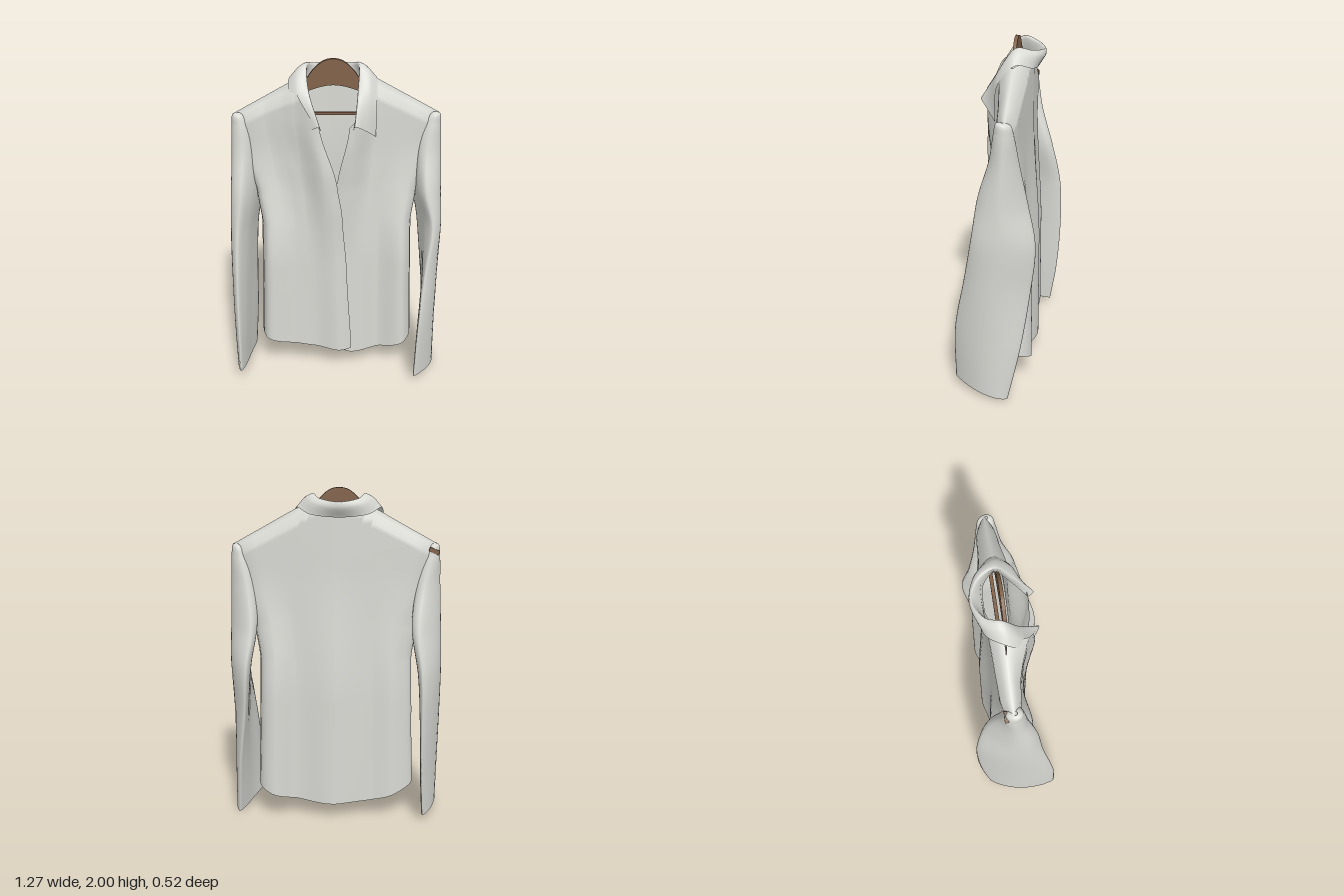
import * as THREE from 'three';
import { ParametricGeometry } from 'three/addons/geometries/ParametricGeometry.js';

const V = (x, y, z) => new THREE.Vector3(x, y, z);
const { lerp, smoothstep } = THREE.MathUtils;

// Reads a value from a short [position, value] table, eased between entries
function at(table, t) {
  if (t <= table[0][0]) return table[0][1];
  for (let i = 1; i < table.length; i++) {
    const [t0, a] = table[i - 1], [t1, b] = table[i];
    if (t <= t1) return lerp(a, b, lerp((t - t0) / (t1 - t0), smoothstep(t, t0, t1), 0.5));
  }
  return table[table.length - 1][1];
}

const halfWidth = [[0.15, 0.475], [0.6, 0.46], [1.0, 0.45], [1.2, 0.475], [1.4, 0.53], [1.68, 0.59]];
// Cloth depth from the right side seam (-1) to the left one (1), for chest and waist
const front = {
  upper: [[-1, 0.05], [-0.7, 0.06], [-0.4, 0.105], [-0.15, 0.175], [0, 0.19], [0.15, 0.17], [0.38, 0.08], [0.7, 0.06], [1, 0.05]],
  lower: [[-1, 0.15], [-0.93, 0.172], [-0.55, 0.12], [-0.3, 0.135], [0, 0.145], [0.3, 0.12], [0.55, 0.095], [0.88, 0.145], [1, 0.125]],
};
const back = {
  upper: [[-1, 0.045], [-0.8, 0.06], [0, 0.085], [0.8, 0.06], [1, 0.045]],
  lower: [[-1, 0.07], [-0.72, 0.1], [-0.5, 0.088], [0, 0.125], [0.5, 0.088], [0.8, 0.128], [0.95, 0.12], [1, 0.1]],
};
const shoulderTop = (x) => 1.87 + 0.56 * (0.25 - Math.abs(x));

// Cloth distance from the seam plane, rounded at the side seams and over the shoulders
function bulge(x, y, depth) {
  const s = THREE.MathUtils.clamp(x / at(halfWidth, y), -1, 1);
  const drop = Math.max(0, shoulderTop(x) - y);
  const folds = 0.008 * Math.sin(x * 19 + 0.6) * Math.max(0, 1 - y / 1.6);
  const d = lerp(at(depth.lower, s), at(depth.upper, s), smoothstep(y, 0.75, 1.55));
  return (d + folds) * Math.pow(Math.min(1, drop / 0.09), 0.5) * Math.pow(1 - s ** 14, 0.5);
}

// Front panel: u runs from the button edge to the side seam, v from hem to shoulder
function frontPanel(side, edge, hem, raise) {
  const neck = Math.abs(at(edge, 2));
  return new ParametricGeometry((u, v, p) => {
    const shoulder = shoulderTop(lerp(neck, 0.59, Math.max(u, 0.3)));
    const top = u < 0.3 ? lerp(1.65, shoulder, Math.pow(u / 0.3, 1.2)) : shoulder;
    const y = lerp(hem(u), top, v);
    const x = lerp(at(edge, y), side * at(halfWidth, y), u);
    p.set(x, y, -0.05 + bulge(x, y, front) + raise(u, y));
  }, 48, 64);
}

function backPanel() {
  return new ParametricGeometry((u, v, p) => {
    const s = u * 2 - 1;
    const top = Math.min(1.888, shoulderTop(s * 0.59));
    const y = lerp(0.1 + 0.11 * Math.abs(s) ** 2.5, top, v);
    const x = s * at(halfWidth, y);
    p.set(x, y, -0.05 - bulge(x, y, back));
  }, 72, 64);
}

// Sleeve sections: y, then x,z of the front, outer, back and inner points
const leftSleeve = [
  [1.692, 0.565, -0.03, 0.575, -0.04, 0.565, -0.05, 0.555, -0.04],
  [1.68, 0.565, -0.005, 0.595, -0.04, 0.565, -0.085, 0.53, -0.04],
  [1.62, 0.55, 0.01, 0.603, -0.045, 0.55, -0.1, 0.49, -0.045],
  [1.45, 0.52, 0.04, 0.61, -0.04, 0.51, -0.125, 0.465, -0.04],
  [1.22, 0.52, 0.105, 0.62, -0.03, 0.49, -0.17, 0.465, -0.05],
  [1.00, 0.565, 0.135, 0.628, -0.04, 0.52, -0.215, 0.505, -0.05],
  [0.70, 0.525, 0.19, 0.62, 0.02, 0.54, -0.19, 0.525, 0.01],
  [0.35, 0.49, 0.255, 0.61, 0.06, 0.58, -0.14, 0.525, 0.06],
  [0.01, 0.475, 0.26, 0.605, 0.08, 0.6, -0.07, 0.525, 0.09],
];
const rightSleeve = [
  [1.692, -0.565, -0.03, -0.575, -0.04, -0.565, -0.05, -0.555, -0.04],
  [1.68, -0.565, -0.005, -0.595, -0.04, -0.565, -0.085, -0.53, -0.04],
  [1.62, -0.555, 0.01, -0.603, -0.045, -0.555, -0.098, -0.49, -0.045],
  [1.45, -0.545, 0.035, -0.61, -0.04, -0.51, -0.13, -0.47, -0.05],
  [1.22, -0.56, 0.09, -0.62, -0.04, -0.48, -0.2, -0.455, -0.08],
  [0.95, -0.59, 0.125, -0.628, -0.05, -0.505, -0.255, -0.5, -0.08],
  [0.65, -0.6, 0.175, -0.628, -0.03, -0.51, -0.262, -0.525, -0.05],
  [0.32, -0.6, 0.22, -0.626, 0.0, -0.515, -0.24, -0.54, -0.01],
  [0.06, -0.6, 0.23, -0.622, 0.0, -0.53, -0.2, -0.55, 0.0],
];
function sleeve(rows, tilt) {
  const rails = [1, 3, 5, 7].map((k) => new THREE.CatmullRomCurve3(
    rows.map((r) => V(r[k], r[0] + tilt * r[k + 1], r[k + 1]))));
  return new ParametricGeometry((u, v, p) => {
    const pts = rails.map((c) => c.getPoint(v));
    const centre = pts.reduce((sum, q) => sum.addScaledVector(q, 0.25), V(0, 0, 0));
    // Fill the section out to an oval between the four points
    const oval = pts.flatMap((q, i) => [q, q.clone().lerp(pts[(i + 1) % 4], 0.5).lerp(centre, -0.36)]);
    new THREE.CatmullRomCurve3(oval, true).getPoint(u, p);
  }, 32, 48);
}

// Collar: four rails (stand foot, fold, leaf middle, leaf edge) mirrored about the neck
function collar() {
  const half = [
    [[0, 1.84, -0.125], [0, 1.935, -0.195], [0, 1.905, -0.2], [0, 1.845, -0.165]],
    [[0.11, 1.84, -0.115], [0.11, 1.948, -0.135], [0.135, 1.93, -0.153], [0.165, 1.86, -0.145]],
    [[0.18, 1.84, -0.05], [0.145, 1.965, -0.05], [0.19, 1.95, -0.05], [0.245, 1.89, -0.055]],
    [[0.155, 1.76, 0.03], [0.14, 1.85, 0.035], [0.195, 1.84, 0.045], [0.245, 1.78, 0.04]],
    [[0.09, 1.63, 0.125], [0.1, 1.665, 0.155], [0.16, 1.625, 0.11], [0.222, 1.57, 0.055]],
  ];
  const rails = [0, 1, 2, 3].map((k) => {
    const pts = [];
    for (let i = -4; i <= 4; i++) {
      const [x, y, z] = half[Math.abs(i)][k];
      pts.push(V(Math.sign(i) * x - (Math.abs(i) === 4 ? 0 : 0.02), y, z));
    }
    return new THREE.CatmullRomCurve3(pts);
  });
  return new ParametricGeometry((u, v, p) => {
    new THREE.CatmullRomCurve3(rails.map((c) => c.getPoint(u))).getPoint(v, p);
  }, 48, 12);
}

// Hanger plate: domed middle with arms sloping to the shoulders
function hangerPlate() {
  const top = [[0, 2.0], [0.06, 1.985], [0.12, 1.93], [0.18, 1.85], [0.3, 1.775], [0.52, 1.65]];
  const low = [[0.51, 1.62], [0.3, 1.735], [0.16, 1.81], [0, 1.85]];
  const flip = (list) => list.slice().reverse().map(([x, y]) => [-x, y]);
  const smooth = (list) => new THREE.SplineCurve(list.map(([x, y]) => new THREE.Vector2(x, y))).getPoints(40);
  const upper = smooth([...flip(top), ...top.slice(1)]);
  const lower = smooth([...low, ...flip(low).slice(1)]);
  const geo = new THREE.ExtrudeGeometry(new THREE.Shape([...upper, ...lower]), { depth: 0.02, bevelEnabled: false });
  return geo.translate(-0.02, 0, -0.045);
}

export function createModel() {
  const cloth = new THREE.MeshStandardMaterial({ color: 0xd9dad4, side: THREE.DoubleSide });
  cloth.name = 'pale cloth';
  const wood = new THREE.MeshStandardMaterial({ color: 0x82634b });
  wood.name = 'brown wood';

  const model = new THREE.Group();
  model.name = 'shirtOnHanger';
  const add = (name, geometry, material) => {
    const mesh = new THREE.Mesh(geometry, material);
    mesh.name = name;
    model.add(mesh);
    return mesh;
  };

  // Shirt body, the right front lapping over the left and rolling down at its edge
  add('rightFront', frontPanel(-1, [[0.15, 0.09], [0.7, 0.06], [1.1, 0.03], [1.3, 0], [1.65, -0.1]],
    (u) => 0.15 + 0.09 * u ** 2,
    (u) => 0.022 * smoothstep(u, -0.08, 0.14) * (1 - smoothstep(u, 0.14, 0.45))), cloth);
  add('leftFront', frontPanel(1, [[0.1, -0.02], [1.2, -0.02], [1.3, 0], [1.65, 0.07]],
    (u) => 0.105 + 0.05 * Math.max(0, 1 - u / 0.22) + 0.105 * u ** 2.5,
    (u, y) => -0.02 * (1 - smoothstep(u, 0.05, 0.4)) * (1 - smoothstep(y, 1.2, 1.6))), cloth);
  add('back', backPanel(), cloth);
  add('collar', collar(), cloth);

  // Sleeves
  add('leftSleeve', sleeve(leftSleeve, 0.15), cloth);
  add('rightSleeve', sleeve(rightSleeve, 0.09), cloth);

  // Hanger
  add('hangerPlate', hangerPlate(), wood);
  add('hangerBar', new THREE.BoxGeometry(0.9, 0.014, 0.02), wood).position.set(-0.02, 1.672, -0.06);
  const tip = add('hangerTip', new THREE.BoxGeometry(0.06, 0.025, 0.02), wood);
  tip.position.set(-0.565, 1.645, -0.088);
  tip.rotation.z = 0.4;
  return model;
}
